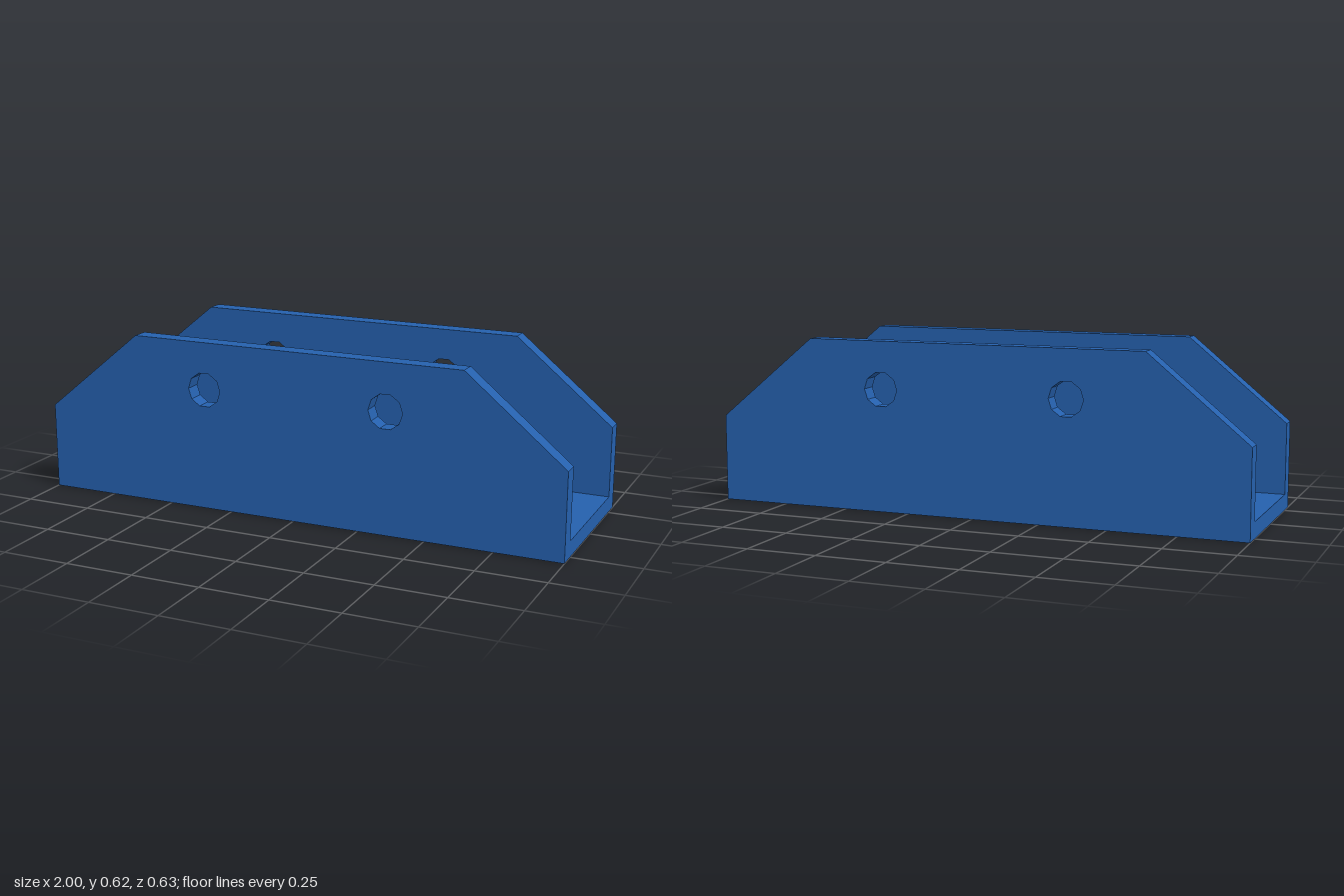
import * as THREE from 'three';

const LENGTH = 2, HEIGHT = 0.622, SHOULDER = 0.32, TOP_HALF = 0.633;
const OUTER_Z = 0.315, INNER_Z = 0.252, FLOOR = 0.059;
const HOLE_RADIUS = 0.064, HOLE_SIDES = 10;

// Flat plate with a mirrored pair of faceted bolt holes at (+-holeX, holeY)
function plate(outline, holeX, holeY, depth) {
  const shape = new THREE.Shape(outline.map(([x, y]) => new THREE.Vector2(x, y)));
  for (const side of [-1, 1]) {
    const points = [];
    for (let i = 0; i < HOLE_SIDES; i++) {
      const a = (i / HOLE_SIDES) * Math.PI * 2;
      points.push(new THREE.Vector2(
        side * holeX + HOLE_RADIUS * Math.cos(a),
        holeY + HOLE_RADIUS * Math.sin(a)
      ));
    }
    shape.holes.push(new THREE.Path(points));
  }
  return new THREE.ExtrudeGeometry(shape, { depth, bevelEnabled: false });
}

export function createModel() {
  const group = new THREE.Group();
  group.name = 'channelBracket';
  const blue = new THREE.MeshStandardMaterial({ color: 0x2560ad });
  blue.name = 'blue';
  const half = LENGTH / 2;

  // Side walls with sloped upper corners
  const wallOutline = [
    [-half, 0], [half, 0], [half, SHOULDER],
    [TOP_HALF, HEIGHT], [-TOP_HALF, HEIGHT], [-half, SHOULDER],
  ];
  const wallGeometry = plate(wallOutline, 0.352, 0.447, OUTER_Z - INNER_Z);
  for (const [name, z] of [['frontWall', INNER_Z], ['backWall', -OUTER_Z]]) {
    const wall = new THREE.Mesh(wallGeometry, blue);
    wall.name = name;
    wall.position.z = z;
    group.add(wall);
  }

  // Floor plate between the walls
  const floorOutline = [
    [-half, -INNER_Z], [half, -INNER_Z], [half, INNER_Z], [-half, INNER_Z],
  ];
  const floorGeometry = plate(floorOutline, 0.735, 0, FLOOR);
  floorGeometry.rotateX(-Math.PI / 2);
  const floor = new THREE.Mesh(floorGeometry, blue);
  floor.name = 'floorPlate';
  group.add(floor);

  return group;
}
